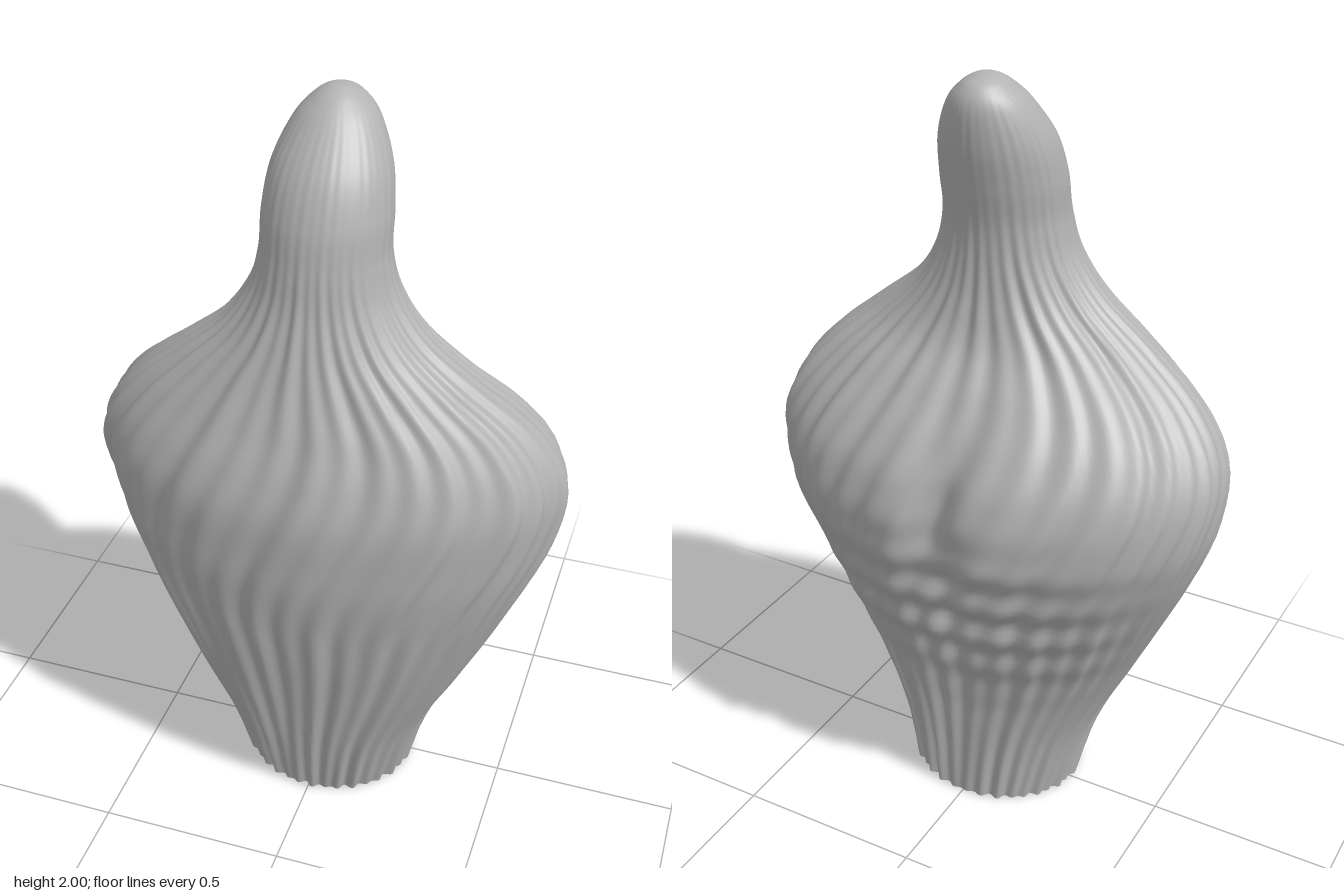
import * as THREE from 'three';

// Cross-sections from foot to tip: [height, half width, front z, back z]
const SECTIONS = [
  [0, 0.235, 0.225, -0.195], [0.2, 0.285, 0.275, -0.21], [0.4, 0.38, 0.315, -0.235],
  [0.6, 0.475, 0.35, -0.295], [0.8, 0.56, 0.375, -0.355], [0.92, 0.597, 0.378, -0.37],
  [1.04, 0.608, 0.372, -0.345], [1.14, 0.575, 0.347, -0.29], [1.24, 0.495, 0.31, -0.215],
  [1.34, 0.375, 0.275, -0.14], [1.44, 0.255, 0.245, -0.105], [1.54, 0.185, 0.22, -0.092],
  [1.64, 0.158, 0.205, -0.094], [1.74, 0.155, 0.185, -0.113], [1.84, 0.14, 0.142, -0.132],
  [1.93, 0.1, 0.07, -0.135], [1.975, 0.06, 0.02, -0.115], [1.995, 0.028, -0.018, -0.08],
  [2, 0, -0.048, -0.048],
];

const smooth = THREE.MathUtils.smoothstep;
const bell = (v, centre, width) => Math.exp(-(((v - centre) / width) ** 2));

// Outward offset of the skin: swirling flutes, the back cleft and the back ripples
function relief(a, y, x) {
  const swirl = 0.45 * smooth(y, 0.65, 1.3) + 0.1 * Math.sin(3 * y);
  const p = a - swirl;
  const fade = 1 - 0.92 * smooth(y, 1.25, 1.75);
  const flutes = 0.0055 * Math.sin(36 * p + 1.2 * Math.sin(3 * p))
    + 0.0035 * Math.sin(23 * p + 1.5 * Math.sin(2 * p + 3 * y));
  const folds = 0.005 * Math.sin(13 * p + 4 * y) * bell(y, 1.05, 0.3);
  const back = smooth(-Math.cos(a), 0.1, 0.7);
  const cleft = -0.045 * back * bell(x, 0, 0.07) * bell(y, 0.95, 0.28);
  const ripples = 0.011 * back * bell(x, -0.05, 0.33) * bell(y, 0.68, 0.2)
    * Math.cos((y - 0.85 + 0.08 * x) * Math.PI * 2 / 0.12);
  const edge = 1 - smooth(y, 1.85, 2);
  return (flutes * fade + folds + cleft + ripples) * edge;
}

// One continuous skin lofted through the cross-sections
function buildSkin(around, rings) {
  const widths = new THREE.SplineCurve(SECTIONS.map(s => new THREE.Vector2(s[0], s[1])));
  const depths = new THREE.SplineCurve(SECTIONS.map(s => new THREE.Vector2(s[2], s[3])));
  const positions = [], index = [], rim = [];
  for (let i = 0; i <= rings; i++) {
    const { x: y, y: w } = widths.getPoint(i / rings);
    const { x: front, y: back } = depths.getPoint(i / rings);
    const mid = (front + back) / 2, depth = (front - back) / 2;
    for (let j = 0; j < around; j++) {
      const a = j / around * Math.PI * 2;
      const x = w * Math.sin(a), o = relief(a, y, x);
      positions.push(x + o * Math.sin(a), y, mid + (depth + o) * Math.cos(a));
      if (i === 0) rim.push(new THREE.Vector2(positions.at(-3), -positions.at(-1)));
      if (i < rings) {
        const p = i * around + j, q = i * around + (j + 1) % around;
        index.push(p, q, q + around, p, q + around, p + around);
      }
    }
  }
  const geometry = new THREE.BufferGeometry();
  geometry.setAttribute('position', new THREE.Float32BufferAttribute(positions, 3));
  geometry.setIndex(index);
  geometry.computeVertexNormals();
  return { geometry, rim };
}

export function createModel() {
  const model = new THREE.Group();
  model.name = 'flutedSculpture';
  const stone = new THREE.MeshStandardMaterial({ color: 0xb3b3b3 });
  stone.name = 'grey stone';

  const { geometry, rim } = buildSkin(240, 180);
  const body = new THREE.Mesh(geometry, stone);
  body.name = 'flutedBody';
  model.add(body);

  // Flat underside following the fluted rim
  const base = new THREE.Mesh(new THREE.ShapeGeometry(new THREE.Shape(rim)), stone);
  base.name = 'underside';
  base.rotation.x = Math.PI / 2;
  base.scale.y = -1;
  base.geometry.scale(1, -1, 1);
  const corners = base.geometry.index.array;
  for (let i = 0; i < corners.length; i += 3) [corners[i], corners[i + 2]] = [corners[i + 2], corners[i]];
  base.scale.y = 1;
  model.add(base);
  return model;
}
